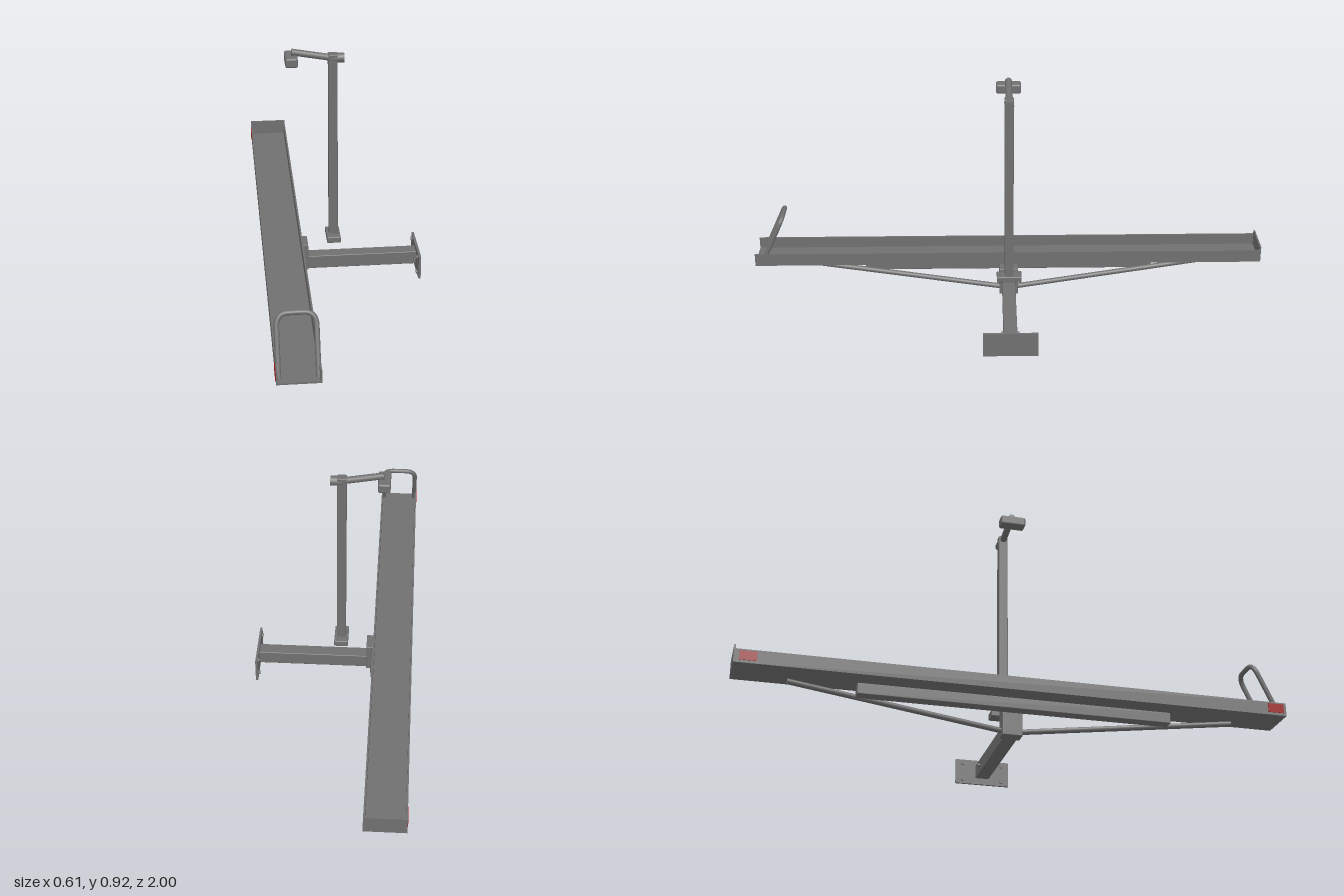
import * as THREE from 'three';
import { RoundedBoxGeometry } from 'three/addons/geometries/RoundedBoxGeometry.js';

const V = (x, y, z) => new THREE.Vector3(x, y, z);

export function createModel() {
  const model = new THREE.Group();
  model.name = 'bikeCarrier';
  const steel = new THREE.MeshStandardMaterial({ color: 0x707070 });
  steel.name = 'grey steel';
  const red = new THREE.MeshStandardMaterial({ color: 0xa01818 });
  red.name = 'red reflector';

  const add = (name, geometry, material = steel) => {
    const mesh = new THREE.Mesh(geometry, material);
    mesh.name = name;
    model.add(mesh);
    return mesh;
  };
  // Box given by its lower and upper corners, optionally with rounded edges
  const box = (name, a, b, r = 0, material = steel) => {
    const s = [b[0] - a[0], b[1] - a[1], b[2] - a[2]];
    const g = r ? new RoundedBoxGeometry(...s, 3, r) : new THREE.BoxGeometry(...s);
    const mesh = add(name, g, material);
    mesh.position.set((a[0] + b[0]) / 2, (a[1] + b[1]) / 2, (a[2] + b[2]) / 2);
    return mesh;
  };
  // Round bar between two points
  const rod = (name, a, b, r, sides = 24) => {
    const d = b.clone().sub(a);
    const mesh = add(name, new THREE.CylinderGeometry(r, r, d.length(), sides));
    mesh.position.copy(a).add(b).multiplyScalar(0.5);
    mesh.quaternion.setFromUnitVectors(V(0, 1, 0), d.normalize());
    return mesh;
  };

  // Wheel channel: U section extruded along z
  const L = -0.304, R = -0.154, B = 0.145, T = 0.195, t = 0.006;
  const section = new THREE.Shape([
    [L, B], [R, B], [R, T], [R - t, T], [R - t, B + t], [L + t, B + t], [L + t, T], [L, T],
  ].map(([x, y]) => new THREE.Vector2(x, y)));
  const channel = new THREE.ExtrudeGeometry(section, { depth: 2, bevelEnabled: false });
  channel.translate(0, 0, -1);
  add('wheelChannel', channel);
  box('channelEndPlate', [L, B, -1], [R, 0.21, -0.994]);

  // Reflectors on the outer wall
  for (const z of [-0.95, 0.96])
    box('reflector', [L - 0.002, 0.155, z - 0.03], [L + 0.001, 0.189, z + 0.03], 0, red);

  // Leaning hoop at the open end
  const cx = (L + R) / 2, w = 0.066, c = 0.042;
  const lean = (x, y) => V(x, y, 0.97 - (y - 0.16) * 0.46);
  const hoop = new THREE.CurvePath();
  const y0 = 0.153, y1 = 0.346;
  hoop.add(new THREE.LineCurve3(lean(cx - w, y0), lean(cx - w, y1 - c)));
  hoop.add(new THREE.QuadraticBezierCurve3(lean(cx - w, y1 - c), lean(cx - w, y1), lean(cx - w + c, y1)));
  hoop.add(new THREE.LineCurve3(lean(cx - w + c, y1), lean(cx + w - c, y1)));
  hoop.add(new THREE.QuadraticBezierCurve3(lean(cx + w - c, y1), lean(cx + w, y1), lean(cx + w, y1 - c)));
  hoop.add(new THREE.LineCurve3(lean(cx + w, y1 - c), lean(cx + w, y0)));
  add('wheelHoop', new THREE.TubeGeometry(hoop, 96, 0.009, 14));

  // Support beam and diagonal struts under the channel
  box('supportBeam', [-0.25, 0.096, -0.57], [-0.206, 0.137, 0.57], 0.003);
  for (const s of [-1, 1])
    rod('strut', V(-0.148, 0.047, s * 0.02), V(-0.228, 0.125, s * 0.81), 0.01);

  // Carrying arm, hub post and mounting plate
  box('hubPost', [-0.178, 0.024, -0.037], [-0.127, 0.134, 0.037], 0.003);
  box('carryingArm', [-0.13, 0.024, -0.026], [0.295, 0.077, 0.026], 0.003);
  rod('armPin', V(0.22, 0.05, -0.036), V(0.22, 0.05, 0.036), 0.006);
  box('mountingPlate', [0.293, 0, -0.103], [0.302, 0.095, 0.103]);
  for (const y of [0.016, 0.08])
    for (const z of [-0.075, 0.075])
      rod('plateBolt', V(0.287, y, z), V(0.294, y, z), 0.008, 12);

  // Upright pole with its foot and top knob
  box('poleFoot', [-0.055, 0.142, -0.048], [-0.002, 0.167, 0.048], 0.004);
  box('pole', [-0.045, 0.165, -0.017], [-0.011, 0.9, 0.017], 0.003);
  rod('poleKnob', V(-0.03, 0.883, 0), V(0.014, 0.883, 0), 0.018);

  // Holding arm and clamp pad
  rod('holdingArm', V(-0.02, 0.882, 0), V(-0.179, 0.911, 0), 0.0125);
  box('clampPad', [-0.204, 0.865, -0.047], [-0.158, 0.901, 0.047], 0.007);

  return model;
}
